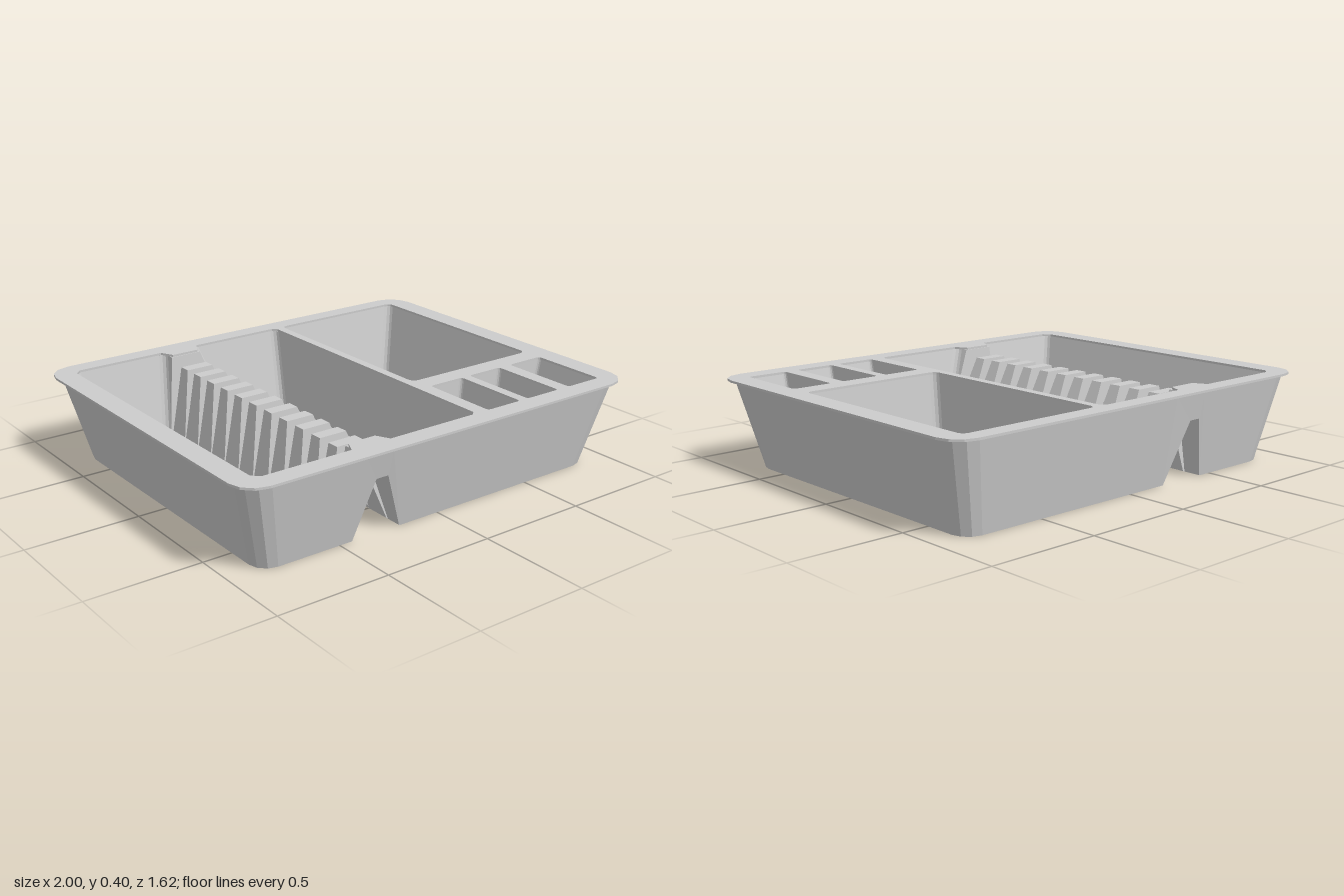
import * as THREE from 'three';

const material = new THREE.MeshStandardMaterial({ color: 0xcccccc, flatShading: true, side: THREE.DoubleSide });
const H = 0.4, RIM = 0.39, FLOOR = 0.03;

function add(parent, name, geometry) {
  const mesh = new THREE.Mesh(geometry, material);
  mesh.name = name;
  parent.add(mesh);
}

// Rounded rectangle in x/z, starting at the (x1, z1) corner and leaving the x1 side last
function rect(x0, x1, z0, z1, radii = 0.03, n = 3) {
  const r = Array.isArray(radii) ? radii : [radii, radii, radii, radii];
  const d = Math.sign(x1 - x0), pts = [];
  [[x1, z1, d, 1], [x0, z1, -d, 1], [x0, z0, -d, -1], [x1, z0, d, -1]].forEach(([x, z, sx, sz], k) => {
    if (!r[k]) return pts.push([x, z]);
    for (let i = 0; i <= n; i++) {
      const t = (k % 2 ? n - i : i) / n * Math.PI / 2;
      pts.push([x + sx * r[k] * (Math.cos(t) - 1), z + sz * r[k] * (Math.sin(t) - 1)]);
    }
  });
  return pts;
}

const at = (pts, y) => pts.map(([x, z]) => [x, y, z]);

// Wall between two matching rows of points
function loft(top, bottom, closed) {
  const p = [], n = top.length;
  for (let i = 0; i < (closed ? n : n - 1); i++) {
    const j = (i + 1) % n;
    p.push(...top[i], ...top[j], ...bottom[i], ...top[j], ...bottom[j], ...bottom[i]);
  }
  const g = new THREE.BufferGeometry();
  g.setAttribute('position', new THREE.Float32BufferAttribute(p, 3));
  g.computeVertexNormals();
  return g;
}

// Flat plate lying in x/z with holes
function plate(outline, holes, y, depth = 0) {
  const v = pts => pts.map(([x, z]) => new THREE.Vector2(x, -z));
  const s = new THREE.Shape(v(outline));
  s.holes = holes.map(h => new THREE.Path(v(h)));
  const g = depth ? new THREE.ExtrudeGeometry(s, { depth, bevelEnabled: false }) : new THREE.ShapeGeometry(s);
  return g.rotateX(-Math.PI / 2).translate(0, y, 0);
}

// Oval drain hole divided by a thin bar: sides -1 = back half, 1 = front half
function drain(x, z, rx, rz, sides = [-1, 1]) {
  return sides.map(s => [[1, 0.08], [0.9, 0.62], [0.4, 1], [-0.4, 1], [-0.9, 0.62], [-1, 0.08]]
    .map(([a, b]) => [x + a * rx, z + s * b * rz]));
}

// Prism with an x/y profile whose two ends follow z0(y) and z1(y)
function prism(profile, z0, z1) {
  const g = new THREE.ExtrudeGeometry(new THREE.Shape(profile.map(p => new THREE.Vector2(...p))),
    { depth: 1, bevelEnabled: false });
  const p = g.attributes.position;
  for (let i = 0; i < p.count; i++) p.setZ(i, (p.getZ(i) < 0.5 ? z0 : z1)(p.getY(i)));
  g.computeVertexNormals();
  return g;
}

export function createModel() {
  const model = new THREE.Group();
  model.name = 'dishDrainer';

  // Compartments: top opening and floor rectangles
  const cups = [[0.245, 0.425, 0.39], [0.47, 0.65, 0.615], [0.715, 0.9, 0.82]].map(([a, b, c]) => ({
    name: 'cutleryCup', top: rect(a, b, 0.36, 0.72, 0.015), bottom: rect(a + 0.003, c, 0.363, 0.64, 0.015), closed: true, holes: [] }));
  const rows = [-0.53, -0.33, -0.125, 0.08, 0.28, 0.485];
  const smallRows = [-0.58, -0.44, -0.3, -0.16, -0.02, 0.12];
  const backCorner = drain(0.325, -0.58, 0.08, 0.06, [-1]);

  // Narrow openings in the left floor
  const leftOpenings = [
    [[-0.75, -0.55], [-0.65, -0.62], [-0.56, -0.6], [-0.54, -0.58]],
    [[-0.75, -0.53], [-0.55, -0.53], [-0.645, -0.46], [-0.71, -0.47]],
    [[-0.75, -0.35], [-0.73, -0.39], [-0.68, -0.4]],
    [[-0.75, -0.33], [-0.64, -0.33], [-0.675, -0.26], [-0.725, -0.26]],
    [[-0.75, -0.13], [-0.67, -0.13], [-0.69, -0.06], [-0.725, -0.06]],
    [[-0.75, 0.08], [-0.69, 0.08], [-0.71, 0.14], [-0.73, 0.14]],
    [[-0.75, 0.29], [-0.7, 0.29], [-0.715, 0.345], [-0.73, 0.345]],
    [[-0.75, 0.49], [-0.63, 0.49], [-0.645, 0.55], [-0.72, 0.565]],
  ];
  const basins = [
    { name: 'leftBasin', top: rect(-0.9, -0.44, -0.73, 0.72), bottom: rect(-0.8, -0.48, -0.66, 0.64), holes: leftOpenings },
    { name: 'middleBasin', top: rect(0.18, -0.29, -0.73, 0.72), bottom: rect(0.17, -0.15, -0.66, 0.64),
      holes: rows.flatMap(z => drain(0.01, z, 0.11, 0.085)) },
    { name: 'sideBasin', top: rect(0.22, 0.9, -0.73, 0.27), bottom: rect(0.23, 0.82, -0.66, 0.23), closed: true,
      holes: [...backCorner, ...smallRows.flatMap(z => drain(0.69, z, 0.08, 0.06))] },
    ...cups,
  ];
  for (const b of basins) {
    add(model, b.name + 'Walls', loft(at(b.top, RIM), at(b.bottom, FLOOR), b.closed));
    add(model, b.name + 'Floor', plate(b.bottom, b.holes, FLOOR));
  }

  // Rim, its main opening pinched where the plate rack meets the ends
  const opening = [
    [-0.9, -0.7], [-0.87, -0.73], [-0.46, -0.73], [-0.43, -0.67], [-0.3, -0.67], [-0.27, -0.73],
    [0.16, -0.73], [0.18, -0.71], [0.18, 0.7], [0.16, 0.72],
    [-0.27, 0.72], [-0.3, 0.66], [-0.43, 0.66], [-0.46, 0.72], [-0.87, 0.72], [-0.9, 0.69]];
  add(model, 'rim', plate(rect(-1, 1, -0.81, 0.81, 0.11),
    [opening, basins[2].top, ...cups.map(c => c.top)], RIM, H - RIM));

  // Sloping outer wall with the tunnel cut out of front and back
  const zFront = y => 0.7 + 0.09 * y / H, zBack = y => -0.72 - 0.07 * y / H;
  const top = at(rect(-0.97, 0.97, -0.79, 0.79, 0.1), RIM);
  const bottom = at(rect(-0.87, 0.88, -0.72, 0.7, 0.08), 0);
  const notch = [[-0.2, 0], [-0.31, 0.27], [-0.37, 0.27], [-0.44, 0]];
  const cut = (index, edge, zOf) => {
    top.splice(index, 0, ...edge.map(([x]) => [x, RIM, zOf(H)]));
    bottom.splice(index, 0, ...edge.map(([x, y]) => [x, y, zOf(y)]));
  };
  cut(12, [...notch].reverse(), zBack);
  cut(4, notch, zFront);
  add(model, 'outerWall', loft(top, bottom, true));

  // Undersides on both sides of the tunnel
  add(model, 'leftUnderside', plate(rect(-0.87, -0.44, -0.72, 0.7, [0, 0.08, 0.08, 0]),
    rows.flatMap(z => drain(-0.65, z, 0.11, 0.085)), 0));
  add(model, 'rightUnderside', plate(rect(-0.2, 0.88, -0.72, 0.7, [0.08, 0, 0, 0.08]),
    [...rows.slice(0, 3).flatMap(z => drain(0.01, z, 0.11, 0.085)), ...backCorner,
      ...drain(0.69, -0.58, 0.08, 0.06, [-1])], 0));

  // Plate rack: tapered ribs over the tunnel, with a block at each end
  const arch = (yTop, xl, xr) => [[-0.48, 0], [xl, yTop], [xr, yTop], [-0.14, 0], ...notch];
  const rack = new THREE.Group();
  rack.name = 'plateRack';
  model.add(rack);
  for (let i = 0; i < 11; i++) {
    const z = (i - 5) * 0.113 - 0.005;
    const half = y => 0.0565 - 0.0285 * y / 0.36;
    add(rack, 'rackRib', prism(arch(0.36, -0.43, -0.3), y => z - half(y), y => z + half(y)));
  }
  const inner = y => 0.63 + 0.03 * y / RIM;
  const block = arch(RIM, -0.44, -0.29);
  add(rack, 'frontRackEnd', prism(block, y => inner(y) - 0.005, y => zFront(y) - 0.003));
  add(rack, 'backRackEnd', prism(block, y => zBack(y) + 0.003, y => -inner(y) - 0.005));

  return model;
}
